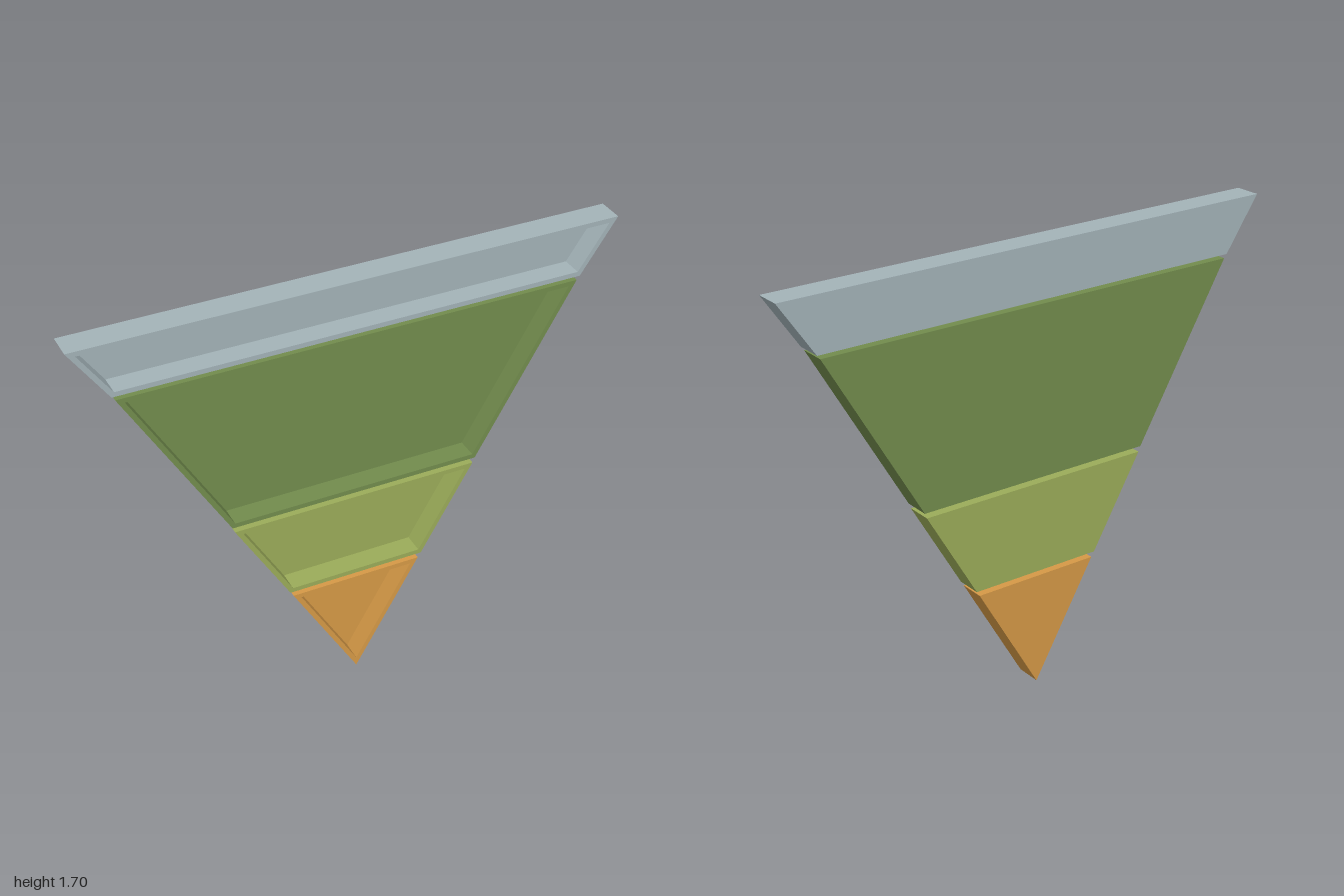
import * as THREE from 'three';

const DEPTH = 0.1; // full thickness, front to back
const FLOOR = 0.02; // back panel thickness
const RIM = 0.018; // width of the raised border

// Tiers from tip to top: y range and half widths at the bottom and top
const TIERS = [
  { name: 'tipTier', y0: 0, y1: 0.44, w0: 0, w1: 0.253, color: 0xd59946 },
  { name: 'lowerTier', y0: 0.459, y1: 0.81, w0: 0.265, w1: 0.468, color: 0x9bac59 },
  { name: 'middleTier', y0: 0.83, y1: 1.48, w0: 0.476, w1: 0.852, color: 0x728c4d },
  { name: 'topTier', y0: 1.494, y1: 1.696, w0: 0.863, w1: 1, color: 0xa3b3b8 },
];

// Corners of a symmetric trapezoid, or of a triangle when the bottom width is zero
function corners(y0, y1, w0, w1) {
  const pts = w0 > 1e-6 ? [[-w0, y0], [w0, y0]] : [[0, y0]];
  return [...pts, [w1, y1], [-w1, y1]].map(([x, y]) => new THREE.Vector2(x, y));
}

// Corners of the recess, inset evenly from every edge
function insetCorners({ y0, y1, w0, w1 }) {
  const slope = (w1 - w0) / (y1 - y0);
  const side = RIM * Math.hypot(1, slope);
  const half = (y) => Math.max(0, w0 + (y - y0) * slope - side);
  const bottom = Math.max(y0 + RIM, y0 + (side - w0) / slope);
  return corners(bottom, y1 - RIM, half(bottom), half(y1 - RIM));
}

function slab(name, shape, depth, z, material) {
  const geometry = new THREE.ExtrudeGeometry(shape, { depth, bevelEnabled: false });
  geometry.translate(0, 0, z);
  const mesh = new THREE.Mesh(geometry, material);
  mesh.name = name;
  return mesh;
}

export function createModel() {
  const model = new THREE.Group();
  model.name = 'invertedTierPyramid';
  for (const tier of TIERS) {
    const material = new THREE.MeshStandardMaterial({ color: tier.color });
    const outline = corners(tier.y0, tier.y1, tier.w0, tier.w1);
    const group = new THREE.Group();
    group.name = tier.name;

    // Solid back panel
    group.add(slab('backPanel', new THREE.Shape(outline), FLOOR, -DEPTH / 2, material));

    // Raised border around the recess
    const frame = new THREE.Shape(outline);
    frame.holes.push(new THREE.Path(insetCorners(tier)));
    group.add(slab('rim', frame, DEPTH - FLOOR, FLOOR - DEPTH / 2, material));

    model.add(group);
  }
  return model;
}
